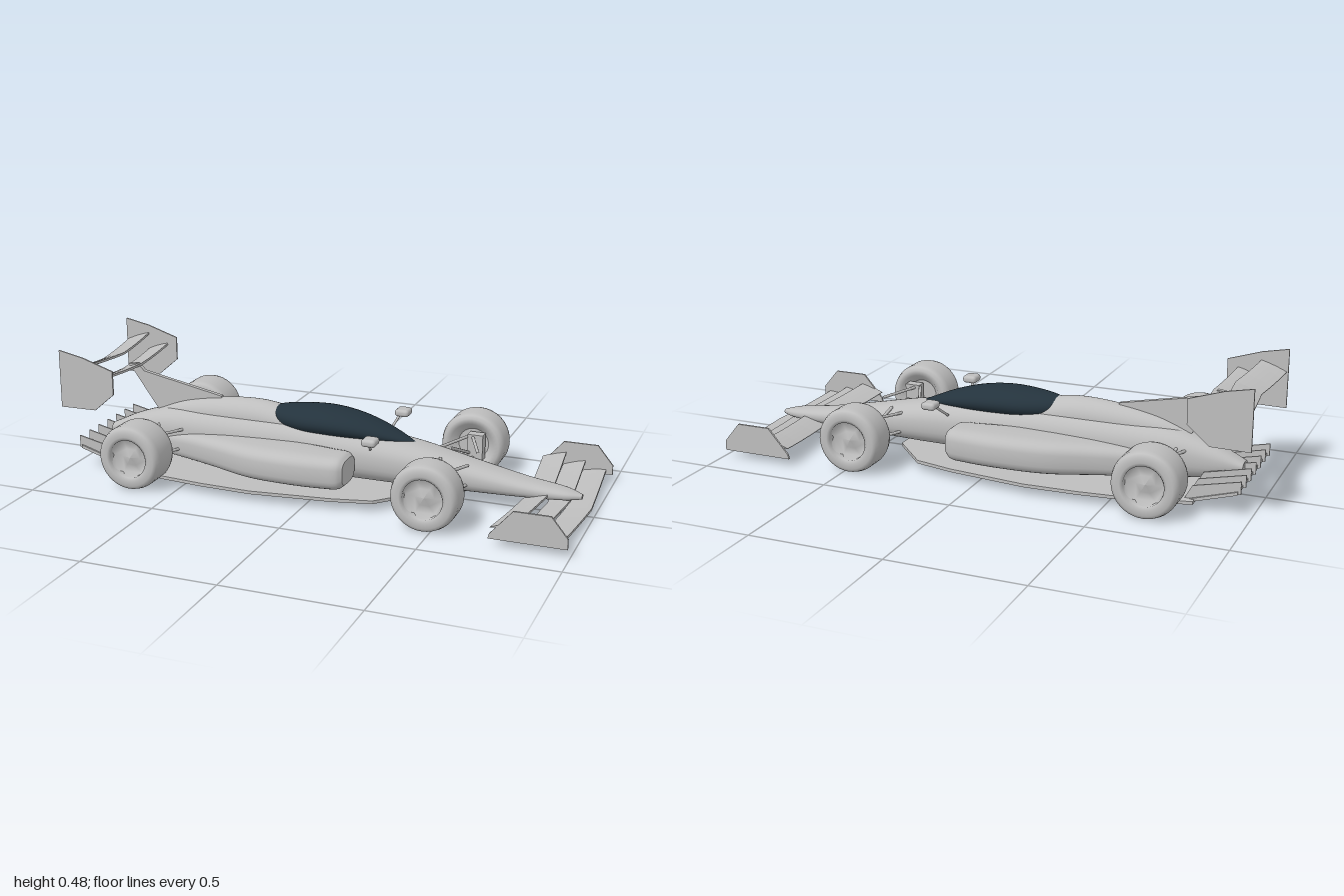
import * as THREE from 'three';
import { RoundedBoxGeometry } from 'three/addons/geometries/RoundedBoxGeometry.js';

const V = (x, y, z) => new THREE.Vector3(x, y, z);

// Smooth skin through rounded sections [x, bottom, top, zCentre, halfWidth], ordered by rising x
function loft(sections, power = 2.4, steps = 48, around = 32) {
  const a = new THREE.CatmullRomCurve3(sections.map(s => V(s[0], s[1], s[2])), false, 'centripetal');
  const b = new THREE.CatmullRomCurve3(sections.map(s => V(s[0], s[3], s[4])), false, 'centripetal');
  const rows = [];
  for (let i = 0; i <= steps; i++) {
    const p = a.getPoint(i / steps), q = b.getPoint(i / steps);
    rows.push([p.x, (p.y + p.z) / 2, q.y, (p.z - p.y) / 2, Math.max(q.z, 0.001)]);
  }
  // doubled end rings keep the caps crisp
  for (const end of [0, steps]) {
    const r = rows[end === 0 ? 0 : rows.length - 1];
    const cap = [[r[0], r[1], r[2], 0, 0], [...r]];
    if (end === 0) rows.unshift(...cap); else rows.push(...cap.reverse());
  }
  const pos = [], idx = [];
  const se = v => Math.sign(v) * Math.pow(Math.abs(v), 2 / power);
  rows.forEach(([x, cy, cz, hy, hz], i) => {
    for (let j = 0; j < around; j++) {
      const t = (j / around) * Math.PI * 2;
      pos.push(x, cy + hy * se(Math.sin(t)), cz + hz * se(Math.cos(t)));
      if (i === rows.length - 1) continue;
      const k = (j + 1) % around, m = i * around, n = m + around;
      idx.push(m + j, n + j, m + k, n + j, n + k, m + k);
    }
  });
  const g = new THREE.BufferGeometry();
  g.setAttribute('position', new THREE.Float32BufferAttribute(pos, 3));
  g.setIndex(idx);
  g.computeVertexNormals();
  return g;
}

// Flat plate from x,y points, centred on z
function plate(points, thick, z = 0) {
  const shape = new THREE.Shape(points.map(p => new THREE.Vector2(...p)));
  return new THREE.ExtrudeGeometry(shape, { depth: thick, bevelEnabled: false }).translate(0, 0, z - thick / 2);
}

// Swept wing blade: middle lies forward and lower than the tips
function blade(lead, trail, thick, half, sweep, dip) {
  const [lx, ly] = lead, [tx, ty] = trail;
  const shape = new THREE.Shape();
  shape.moveTo(tx, ty);
  shape.quadraticCurveTo(lx * 0.6 + tx * 0.4, ly * 0.6 + ty * 0.4 - thick, lx, ly - thick / 2);
  shape.lineTo(lx, ly + thick / 2);
  shape.quadraticCurveTo(lx * 0.6 + tx * 0.4, ly * 0.6 + ty * 0.4 + thick, tx, ty + 0.002);
  const g = new THREE.ExtrudeGeometry(shape, { depth: half * 2, steps: 16, curveSegments: 5, bevelEnabled: false });
  g.translate(0, 0, -half);
  const p = g.attributes.position;
  for (let i = 0; i < p.count; i++) {
    const f = Math.abs(p.getZ(i)) / half;
    p.setX(i, p.getX(i) + sweep * (1 - f));
    p.setY(i, p.getY(i) - dip * (1 - f * f));
  }
  g.computeVertexNormals();
  return g;
}

function rod(a, b, r) {
  return new THREE.TubeGeometry(new THREE.LineCurve3(a, b), 1, r, 8, false);
}

export function createModel() {
  const car = new THREE.Group();
  car.name = 'racingCar';
  const grey = new THREE.MeshStandardMaterial({ color: 0xbebebe });
  grey.name = 'bodyGrey';
  const dark = new THREE.MeshStandardMaterial({ color: 0x24333d });
  dark.name = 'canopyDark';
  const add = (name, geo, mat = grey) => {
    const m = new THREE.Mesh(geo, mat);
    m.name = name;
    car.add(m);
    return m;
  };

  // Central body from tail to nose
  add('fuselage', loft([
    [-0.92, 0.09, 0.125, 0, 0.035], [-0.8, 0.055, 0.18, 0, 0.065], [-0.66, 0.04, 0.22, 0, 0.085],
    [-0.45, 0.04, 0.235, 0, 0.1], [-0.2, 0.04, 0.24, 0, 0.11], [0.1, 0.04, 0.225, 0, 0.11],
    [0.33, 0.04, 0.2, 0, 0.098], [0.55, 0.045, 0.155, 0, 0.078], [0.75, 0.05, 0.115, 0, 0.06],
    [0.9, 0.057, 0.094, 0, 0.04], [0.955, 0.063, 0.08, 0, 0.012]]));
  add('engineCover', loft([
    [-0.74, 0.14, 0.2, 0, 0.02], [-0.6, 0.15, 0.252, 0, 0.045], [-0.42, 0.15, 0.283, 0, 0.062],
    [-0.28, 0.15, 0.288, 0, 0.068], [-0.16, 0.15, 0.27, 0, 0.07]], 2));
  add('canopy', loft([
    [-0.25, 0.235, 0.265, 0, 0.015], [-0.2, 0.205, 0.282, 0, 0.058], [-0.1, 0.19, 0.294, 0, 0.092],
    [0, 0.188, 0.296, 0, 0.1], [0.1, 0.187, 0.283, 0, 0.09], [0.2, 0.187, 0.255, 0, 0.065],
    [0.29, 0.188, 0.218, 0, 0.03], [0.33, 0.19, 0.2, 0, 0.004]], 2), dark);
  add('wingPylon', plate([[-0.45, 0.25], [-0.45, 0.285], [-0.78, 0.35], [-0.81, 0.378], [-0.85, 0.372],
    [-0.82, 0.34], [-0.72, 0.2]], 0.018));

  // Floor and rising diffuser
  const half = [[0.39, 0.09], [0.25, 0.24], [0.1, 0.275], [-0.2, 0.312], [-0.4, 0.306], [-0.57, 0.29], [-0.8, 0.24]];
  const outline = [...half, ...half.map(([x, z]) => [x, -z]).reverse()];
  add('floor', plate(outline, 0.012).rotateX(Math.PI / 2).translate(0, 0.036, 0));
  add('diffuser', plate([[-0.78, 0.03], [-0.78, 0.042], [-0.95, 0.092], [-0.95, 0.08]], 0.44));
  for (let i = -3; i <= 3; i++) {
    add('diffuserStrake', plate([[-0.76, 0.035], [-0.96, 0.082], [-0.96, 0.128], [-0.79, 0.09]], 0.006, i * 0.07));
  }

  // Wings
  add('rearWingMain', blade([-0.815, 0.386], [-0.898, 0.36], 0.009, 0.26, 0.02, 0.013));
  add('rearWingFlap', blade([-0.9, 0.422], [-0.995, 0.39], 0.009, 0.26, 0.03, 0.013));
  add('frontWingMain', blade([0.965, 0.042], [0.87, 0.03], 0.009, 0.38, 0.025, 0.014));
  add('frontWingMiddle', blade([0.885, 0.068], [0.8, 0.045], 0.008, 0.38, 0.03, 0.016));
  add('frontWingFlap', blade([0.81, 0.092], [0.72, 0.066], 0.008, 0.38, 0.035, 0.016));

  // Tyre and hub profiles; a turned tyre with a six-sided dished hub on its outer face
  const wheel = (name, x, zIn, zOut, s) => {
    const w = zOut - zIn, h = w / 2, R = 0.123;
    const profile = [[0.05, -h + 0.04], [0.085, -h], [0.105, -h], [0.117, -h + 0.008], [R, -h + 0.028], [R, h - 0.028],
      [0.117, h - 0.008], [0.105, h], [0.085, h], [0.073, h - 0.004], [0.073, h - 0.05]].map(p => new THREE.Vector2(...p));
    const hub = [[0, h - 0.022], [0.035, h - 0.032], [0.07, h - 0.04], [0.088, h - 0.002]]
      .reverse().map(p => new THREE.Vector2(...p));
    const group = new THREE.Group();
    group.name = name;
    const tyre = new THREE.Mesh(new THREE.LatheGeometry(profile, 40), grey);
    tyre.name = 'tyre';
    const rim = new THREE.Mesh(new THREE.LatheGeometry(hub, 6, Math.PI / 6 + Math.PI / 3), grey);
    rim.name = 'hexHub';
    const back = new THREE.Mesh(new THREE.CylinderGeometry(0.06, 0.06, 0.02, 24), grey);
    back.name = 'brakeDrum';
    back.position.y = -h + 0.04;
    group.add(tyre, rim, back);
    group.rotation.x = s * Math.PI / 2;
    group.position.set(x, R, s * (zIn + h));
    car.add(group);
  };

  for (const s of [1, -1]) {
    // Sidepod with coke-bottle taper
    add('sidepod', loft([
      [-0.72, 0.05, 0.12, s * 0.04, 0.03], [-0.57, 0.045, 0.145, s * 0.06, 0.055], [-0.42, 0.045, 0.162, s * 0.09, 0.085],
      [-0.25, 0.045, 0.173, s * 0.14, 0.1], [-0.08, 0.05, 0.18, s * 0.165, 0.102], [0.06, 0.055, 0.181, s * 0.178, 0.088],
      [0.115, 0.06, 0.18, s * 0.18, 0.08], [0.135, 0.075, 0.168, s * 0.18, 0.065]], 3.2));

    // End plates
    add('rearEndPlate', plate([[-1, 0.255], [-0.855, 0.257], [-0.775, 0.326], [-0.775, 0.417], [-0.9, 0.457], [-1, 0.477]],
      0.007, s * 0.26));
    add('frontEndPlate', plate([[0.715, 0.027], [0.99, 0.027], [0.99, 0.064], [0.93, 0.137], [0.8, 0.137], [0.72, 0.045]],
      0.008, s * 0.378));

    // Mirrors
    add('mirror', new RoundedBoxGeometry(0.055, 0.028, 0.06, 3, 0.012).translate(0.22, 0.244, s * 0.185));
    add('mirrorStalk', rod(V(0.21, 0.235, s * 0.17), V(0.19, 0.183, s * 0.1), 0.005));

    wheel('frontWheel', 0.475, 0.24, 0.367, s);
    wheel('rearWheel', -0.663, 0.23, 0.377, s);

    // Wishbones, push rods and hub carriers
    for (const [x, rear, front] of [[0.475, 0.39, 0.55], [-0.66, -0.72, -0.57]]) {
      for (const [yOut, yIn] of [[0.165, 0.158], [0.085, 0.085]]) {
        for (const inner of [rear, front]) {
          add('wishbone', rod(V(x, yOut, s * 0.245), V(inner, yIn, s * 0.065), 0.006));
        }
      }
      add('pushRod', rod(V(x, 0.095, s * 0.235), V(x - 0.03, 0.17, s * 0.06), 0.006));
      add('hubCarrier', new THREE.BoxGeometry(0.06, 0.1, 0.04).translate(x + 0.02, 0.125, s * 0.235));
    }
  }
  return car;
}
